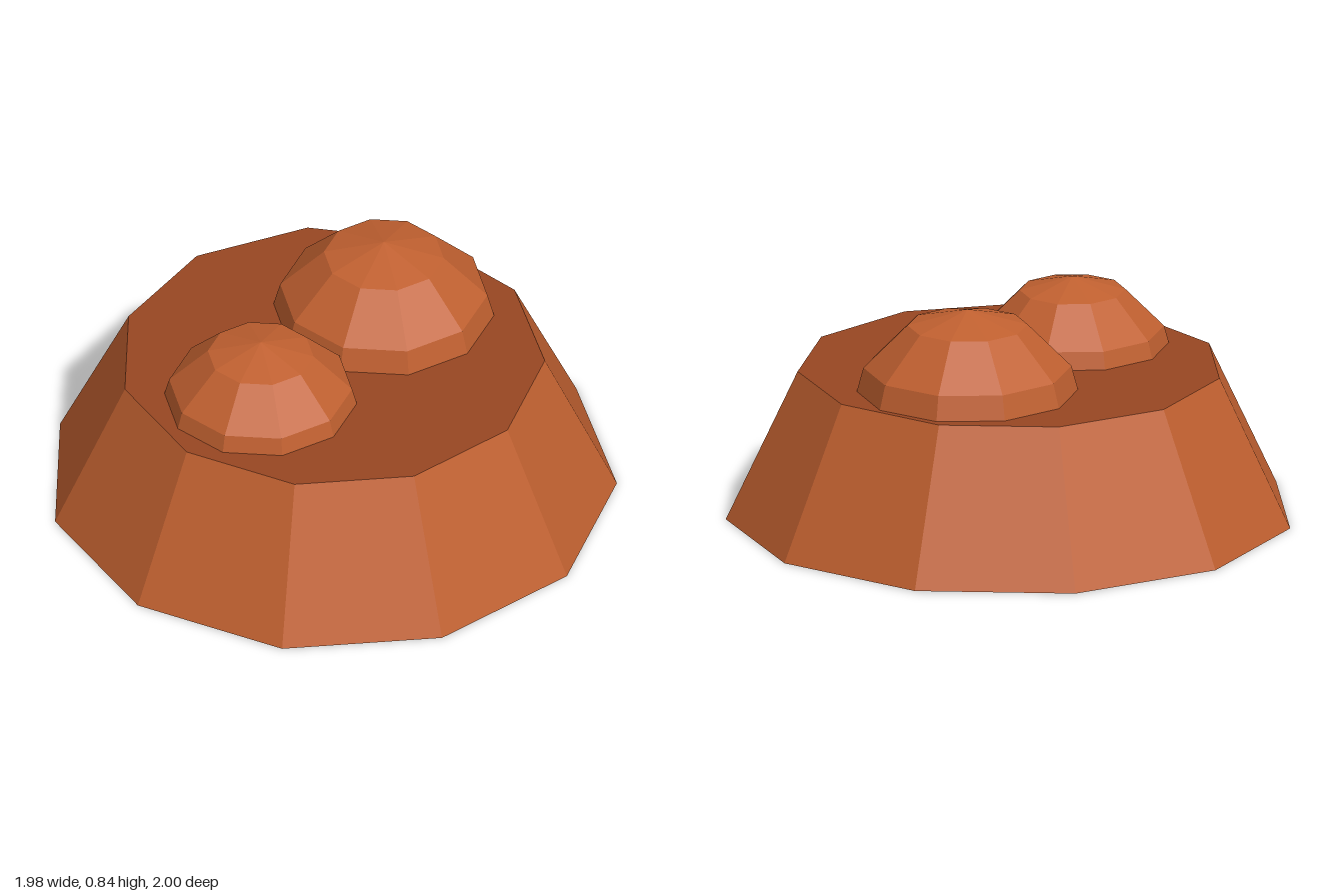
import * as THREE from 'three';

const SIDES = 11;
const CENTRE_X = -0.02;
const TOP_Y = 0.54;
const TOP_RADIUS = 0.755;
const BASE_RADIUS = 1.01;

export function createModel() {
  const group = new THREE.Group();
  group.name = 'mound';

  // Open shells, so both sides show
  const material = (name, color) => new THREE.MeshStandardMaterial({
    name, color, flatShading: true, side: THREE.DoubleSide,
  });
  const clay = material('clay', 0xc06030);
  const darkClay = material('darkClay', 0x984622);

  const add = (name, geometry, mat, x, y, z) => {
    const mesh = new THREE.Mesh(geometry, mat);
    mesh.name = name;
    mesh.position.set(x, y, z);
    group.add(mesh);
  };

  // Sloping wall, open at top and bottom, with a corner on +x
  add('slopingWall',
    new THREE.CylinderGeometry(TOP_RADIUS, BASE_RADIUS, TOP_Y, SIDES, 1, true, Math.PI / 2),
    clay, CENTRE_X, TOP_Y / 2, 0);

  // Flat top
  add('flatTop',
    new THREE.CircleGeometry(TOP_RADIUS, SIDES).rotateX(-Math.PI / 2),
    darkClay, CENTRE_X, TOP_Y, 0);

  // Hollow half-spheres sunk through the flat top
  const dome = (name, radius, x, z) => add(name,
    new THREE.SphereGeometry(radius, 10, 3, 0, Math.PI * 2, 0, Math.PI / 2),
    clay, x, 0.415, z);
  dome('largeDome', 0.425, 0.28, -0.14);
  dome('smallDome', 0.375, -0.36, 0.08);

  return group;
}
